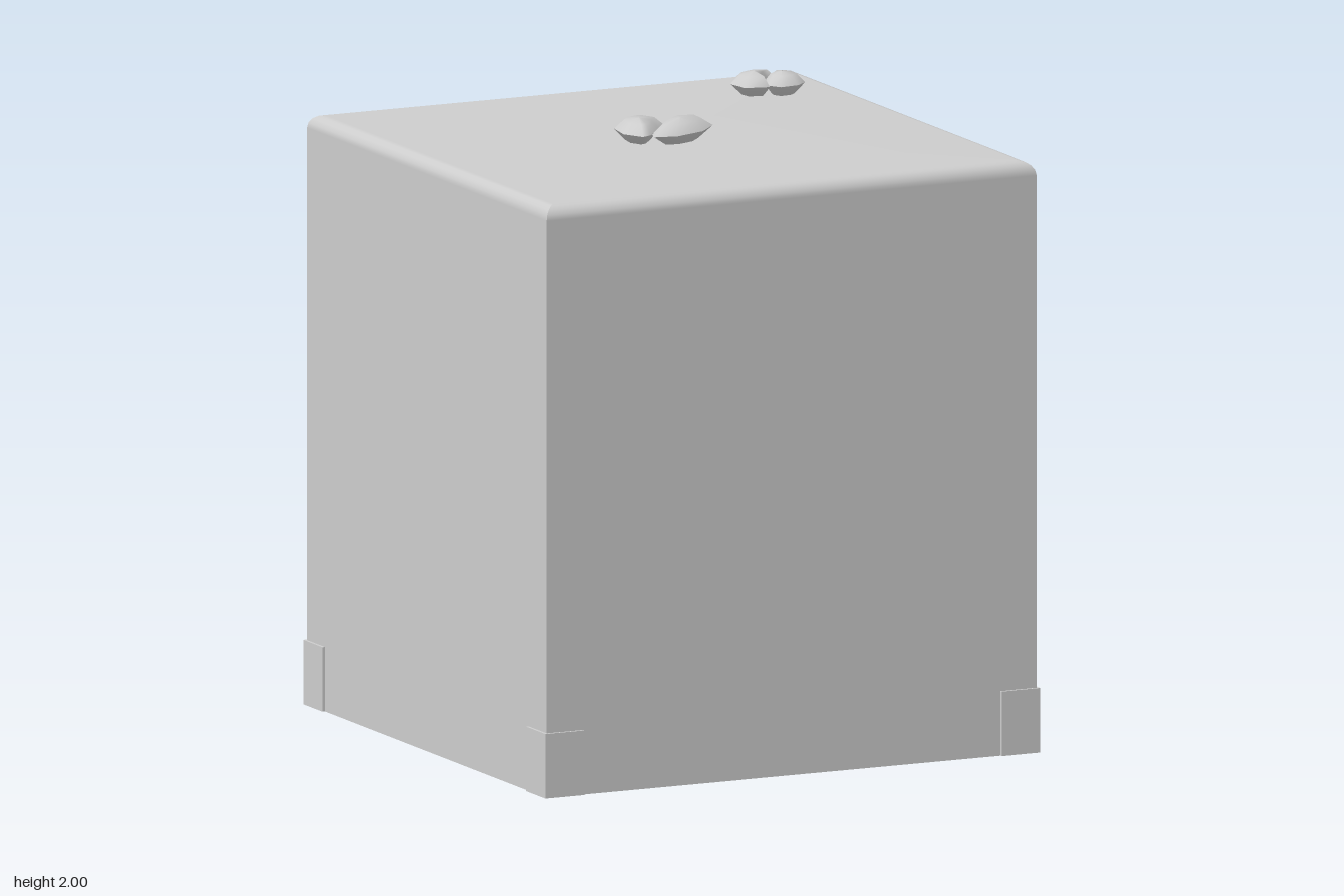
import * as THREE from 'three';

// Joins equal-length rings of [x, y, z] points into a smooth strip
function loft(rings, closed) {
  const n = rings[0].length, index = [];
  for (let r = 0; r < rings.length - 1; r++) {
    for (let i = 0; i < (closed ? n : n - 1); i++) {
      const j = (i + 1) % n, a = r * n, b = a + n;
      index.push(a + i, a + j, b + j, a + i, b + j, b + i);
    }
  }
  const geometry = new THREE.BufferGeometry();
  geometry.setAttribute('position', new THREE.Float32BufferAttribute(rings.flat(2), 3));
  geometry.setIndex(index);
  geometry.computeVertexNormals();
  return geometry;
}

export function createModel() {
  const model = new THREE.Group();
  const grey = new THREE.MeshStandardMaterial({ color: 0xcccccc, side: THREE.DoubleSide });
  grey.name = 'plain grey';

  function add(name, geometry, parent = model) {
    const mesh = new THREE.Mesh(geometry, grey);
    mesh.name = name;
    parent.add(mesh);
    return mesh;
  }

  // Hollow body, open below: each side is a wall, a rounded top edge and a quarter of the top
  const half = 0.873, height = 1.925, bevel = 0.045;
  const profile = [[half, 0], [half, height - bevel]];
  for (let i = 1; i <= 4; i++) {
    const a = (i / 4) * Math.PI / 2;
    profile.push([half - bevel * (1 - Math.cos(a)), height - bevel * (1 - Math.sin(a))]);
  }
  profile.push([0.0005, height]);
  const side = loft(profile.map(([r, y]) => [[-r, y, r], [r, y, r]]), false);
  const body = new THREE.Group();
  body.name = 'body';
  model.add(body);
  for (let k = 0; k < 4; k++) add('bodySide', side, body).rotation.y = k * Math.PI / 2;

  // Corner feet
  const foot = new THREE.BoxGeometry(0.14, 0.21, 0.14);
  for (const x of [-1, 1]) {
    for (const z of [-1, 1]) add('cornerFoot', foot).position.set(x * 0.812, 0.105, z * 0.812);
  }

  // Thin arched plate on the left side, drawn in (-z, y)
  const arch = new THREE.Shape([
    [-0.01, 0.8], [0.25, 0.78], [0.285, 1.05], [0.235, 1.14], [0.09, 1.16], [0.025, 1.1],
  ].map(([u, v]) => new THREE.Vector2(u, v)));
  const plate = new THREE.ExtrudeGeometry(arch, { depth: 0.009, bevelEnabled: false });
  plate.rotateY(Math.PI / 2);
  add('archedPlate', plate).position.x = half;

  // Split pebbles on top: each half is an (x, z) outline, with a domed top and tapered underside
  const lobes = {
    largePebble: [
      [[-0.05, -0.13], [-0.13, -0.11], [-0.185, -0.045], [-0.2, 0.055],
        [-0.165, 0.125], [-0.13, 0.11], [-0.06, 0.025], [-0.01, -0.045]],
      [[0.05, -0.07], [0.13, -0.05], [0.125, 0.04], [0.05, 0.12],
        [-0.06, 0.163], [-0.135, 0.145], [-0.12, 0.1], [-0.03, -0.01]],
    ],
    smallPebble: [
      [[0.476, -0.55], [0.505, -0.6], [0.594, -0.637], [0.665, -0.61],
        [0.62, -0.57], [0.58, -0.505], [0.57, -0.45], [0.49, -0.47]],
      [[0.66, -0.604], [0.714, -0.557], [0.707, -0.476], [0.665, -0.44],
        [0.6, -0.432], [0.575, -0.476], [0.585, -0.528], [0.62, -0.56]],
    ],
  };
  for (const [name, halves] of Object.entries(lobes)) {
    const pebble = new THREE.Group();
    pebble.name = name;
    model.add(pebble);
    for (const outline of halves) {
      // Wind every outline counterclockwise from above
      const points = outline.map(([x, z]) => new THREE.Vector2(x, z));
      if (THREE.ShapeUtils.area(points) > 0) points.reverse();
      const centre = points.reduce((sum, p) => sum.add(p), new THREE.Vector2()).divideScalar(points.length);
      const ring = ([s, y]) => points.map((p) => [
        centre.x + (p.x - centre.x) * s, y, centre.y + (p.y - centre.y) * s,
      ]);
      add('pebbleTop', loft([[1, 1.963], [0.62, 1.992], [0.01, 2]].map(ring), true), pebble);
      add('pebbleUnderside', loft([[0.01, 1.926], [0.55, 1.927], [1, 1.963]].map(ring), true), pebble);
    }
  }

  return model;
}
